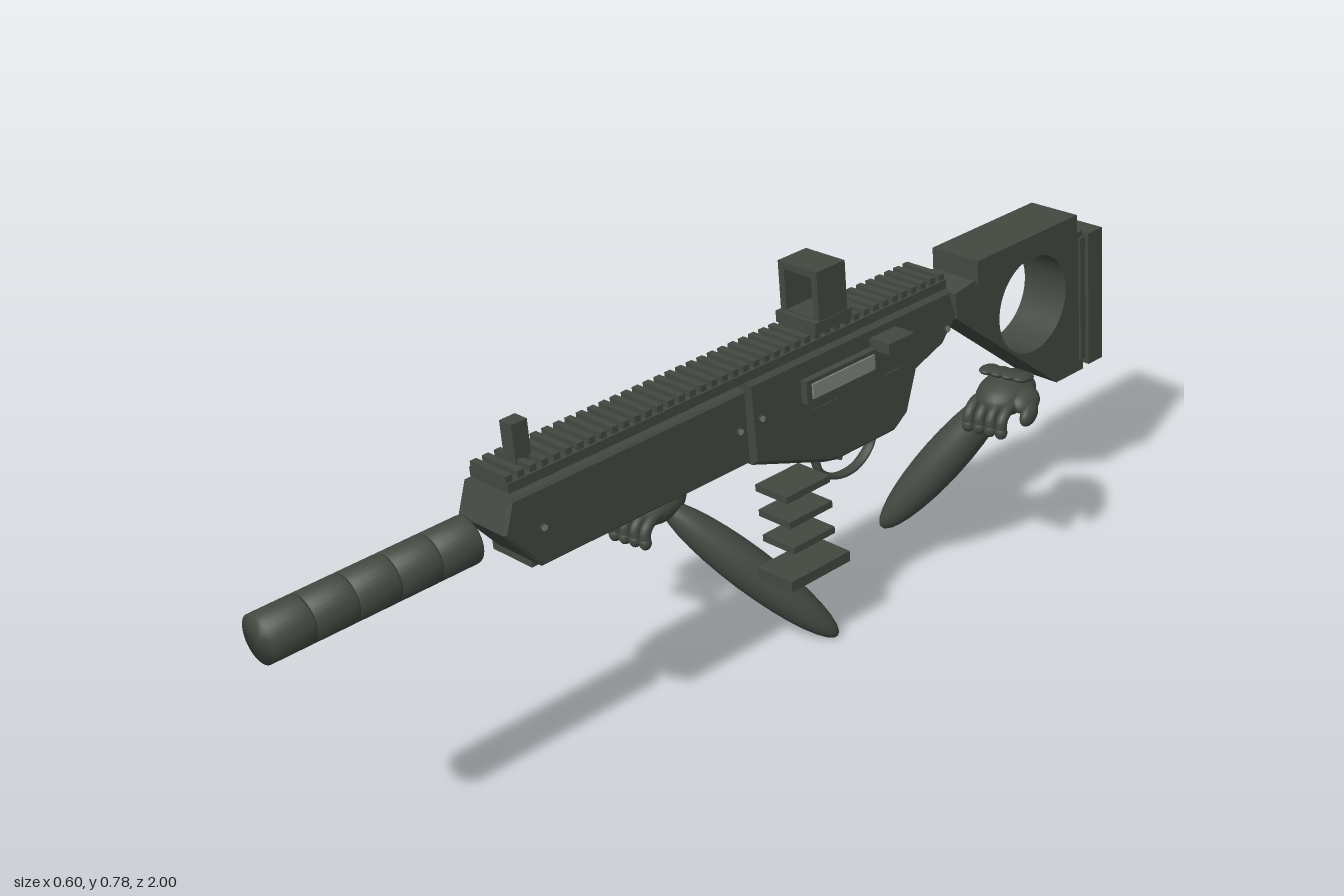
import * as THREE from 'three';

const mat = (name, color) => {
  const m = new THREE.MeshStandardMaterial({ color });
  m.name = name;
  return m;
};

export function createModel() {
  const olive = mat('dark olive', 0x434841);
  const grey = mat('port grey', 0x80847c);
  const glass = mat('lens teal', 0x94b8b4);
  const model = new THREE.Group();
  model.name = 'model';

  const add = (parent, name, geo, m, x = 0, y = 0, z = 0) => {
    const mesh = new THREE.Mesh(geo, m);
    mesh.name = name;
    mesh.position.set(x, y, z);
    parent.add(mesh);
    return mesh;
  };

  // Rifle frame: origin on the bore, local z forward, yawed and rolled
  const gun = new THREE.Group();
  gun.name = 'rifle';
  gun.position.set(-0.03, 0.552, 0);
  gun.rotation.set(0, THREE.MathUtils.degToRad(-10), THREE.MathUtils.degToRad(6), 'YXZ');
  model.add(gun);

  const box = (name, w, h, d, x, y, z, m = olive) =>
    add(gun, name, new THREE.BoxGeometry(w, h, d), m, x, y, z);

  // Side profile given as [z, y], extruded across the width
  const slab = (name, pts, width, bevel = 0, hole) => {
    const shape = new THREE.Shape(pts.map(p => new THREE.Vector2(p[0], p[1])));
    if (hole) {
      const path = new THREE.Path();
      path.absarc(hole[0], hole[1], hole[2], 0, Math.PI * 2, false);
      shape.holes.push(path);
    }
    const depth = width - 2 * bevel;
    const geo = new THREE.ExtrudeGeometry(shape, {
      depth, curveSegments: 48, bevelEnabled: bevel > 0, bevelSegments: 1,
      bevelThickness: bevel, bevelSize: bevel, bevelOffset: -bevel,
    });
    geo.translate(0, 0, -depth / 2);
    geo.rotateY(-Math.PI / 2);
    return add(gun, name, geo, olive);
  };

  // Suppressor: five sections with fine grooves between them
  for (let i = 0; i < 5; i++) {
    const z0 = 0.586 + i * 0.0843, z1 = z0 + 0.0828;
    const prof = [[0, z0], [0.0435, z0], [0.0445, z0 + 0.003], [0.0445, z1], [0, z1]];
    const geo = new THREE.LatheGeometry(prof.map(p => new THREE.Vector2(p[0], p[1])), 32);
    add(gun, 'suppressorSection', geo.rotateX(Math.PI / 2), olive, -0.003);
  }
  add(gun, 'suppressorCore', new THREE.CylinderGeometry(0.042, 0.042, 0.41, 32).rotateX(Math.PI / 2), olive, -0.003, 0, 0.795);

  // Handguard
  slab('handguard', [[0, -0.07], [0.49, -0.07], [0.562, 0.018], [0.54, 0.077], [0, 0.077]], 0.13, 0.005).position.x = 0.004;
  box('handguardLowerPlate', 0.106, 0.016, 0.49, -0.018, -0.076, 0.245);

  // Receiver
  slab('receiver', [[-0.012, 0.08], [-0.015, -0.085], [-0.2, -0.153], [-0.23, -0.16], [-0.388, -0.16], [-0.425, -0.135],
    [-0.455, -0.055], [-0.53, -0.03], [-0.572, 0.015], [-0.555, 0.08]], 0.122, 0.008);

  // Pins on both sides
  for (const side of [-1, 1]) {
    for (const [z, hw, x] of [[0.48, 0.065, 0.004], [0.022, 0.065, 0.004], [-0.04, 0.061, 0], [-0.54, 0.061, 0]]) {
      const pin = add(gun, 'pin', new THREE.CylinderGeometry(0.008, 0.008, 0.006, 12), olive, x + side * hw, 0.002, z);
      const head = add(gun, 'pinHead', new THREE.CylinderGeometry(0.006, 0.006, 0.004, 12), grey, x + side * (hw + 0.002), 0.002, z);
      pin.rotation.z = head.rotation.z = Math.PI / 2;
    }
  }

  // Ejection port and charging handle on the left side
  box('portFrame', 0.02, 0.046, 0.19, 0.066, 0.017, -0.238);
  box('portCover', 0.014, 0.03, 0.164, 0.073, 0.017, -0.238, grey);
  box('chargingHandle', 0.055, 0.022, 0.07, 0.083, 0.047, -0.362);
  box('sideStrip', 0.006, 0.006, 0.07, 0.06, -0.033, -0.2);
  box('sideStrip', 0.006, 0.006, 0.05, 0.06, -0.033, -0.39);

  // Top rail with teeth
  box('railBase', 0.104, 0.018, 1.08, 0.003, 0.091, -0.008);
  box('railSpine', 0.06, 0.014, 1.06, 0.003, 0.08, -0.008);
  const teeth = 42;
  for (let i = 0; i < teeth; i++) {
    box('railTooth', 0.096, 0.015, 0.014, 0.003, 0.105, 0.525 - i * (1.066 / (teeth - 1)));
  }

  // Front post
  box('frontSight', 0.032, 0.078, 0.034, 0, 0.139, 0.465);

  // Optic: base, square hood and rear lens
  box('opticBase', 0.104, 0.022, 0.095, 0, 0.119, -0.245);
  const hood = new THREE.Shape([[-0.05, 0], [0.05, 0], [0.05, 0.1], [-0.05, 0.1]].map(p => new THREE.Vector2(...p)));
  hood.holes.push(new THREE.Path([[-0.035, 0.006], [-0.035, 0.086], [0.035, 0.086], [0.035, 0.006]].map(p => new THREE.Vector2(...p))));
  add(gun, 'opticHood', new THREE.ExtrudeGeometry(hood, { depth: 0.074, bevelEnabled: false }), olive, 0, 0.127, -0.284);
  box('opticLens', 0.07, 0.08, 0.005, 0, 0.173, -0.28, glass);
  box('opticDot', 0.005, 0.005, 0.002, 0, 0.173, -0.2835);

  // Trigger and guard
  const bow = new THREE.CatmullRomCurve3([[-0.155, -0.222], [-0.2, -0.232], [-0.23, -0.272], [-0.232, -0.33],
    [-0.2, -0.374], [-0.15, -0.384]].map(([y, z]) => new THREE.Vector3(0, y, z)));
  const guard = add(gun, 'triggerGuard', new THREE.TubeGeometry(bow, 32, 0.0065, 10), olive);
  guard.scale.x = 1.8;
  const trig = new THREE.CatmullRomCurve3([[-0.15, -0.29], [-0.18, -0.296], [-0.2, -0.288]]
    .map(([y, z]) => new THREE.Vector3(0, y, z)));
  add(gun, 'trigger', new THREE.TubeGeometry(trig, 10, 0.006, 8), olive);

  // Floating magazine plates
  for (const [y, w, h, d, z] of [[-0.195, 0.085, 0.014, 0.115, -0.155], [-0.25, 0.085, 0.014, 0.113, -0.158],
    [-0.307, 0.085, 0.014, 0.11, -0.162], [-0.377, 0.094, 0.022, 0.158, -0.17]]) {
    box('magazinePlate', w, h, d, 0.008, y, z);
  }

  // Stock with round opening, cheek rest and butt pad
  slab('stock', [[-0.575, 0.06], [-0.578, 0.006], [-0.873, -0.24], [-0.958, -0.24], [-0.958, 0.068], [-0.63, 0.068]],
    0.108, 0, [-0.803, -0.041, 0.102]);
  box('cheekRest', 0.118, 0.05, 0.3, 0.003, 0.086, -0.783);
  box('buttSpacer', 0.118, 0.27, 0.02, 0, -0.08, -0.956);
  box('buttPad', 0.134, 0.29, 0.044, 0, -0.082, -0.983);

  // Forearms and hands
  const ball = new THREE.SphereGeometry(1, 24, 16);
  const blob = (parent, name, x, y, z, sx, sy, sz, rx = 0, rz = 0) => {
    const m = add(parent, name, ball, olive, x, y, z);
    m.scale.set(sx, sy, sz);
    m.rotation.set(rx, 0, rz);
  };
  const forearm = (name, a, b) => {
    const from = new THREE.Vector3(...a), to = new THREE.Vector3(...b);
    const dir = to.clone().sub(from);
    const mid = from.clone().add(to).multiplyScalar(0.5);
    const m = add(model, name, ball, olive, mid.x, mid.y, mid.z);
    m.scale.set(0.044, dir.length() / 2, 0.044);
    m.quaternion.setFromUnitVectors(new THREE.Vector3(0, 1, 0), dir.normalize());
  };
  // Hand with curled fingers; side is the x direction of the thumb
  const hand = (name, x, y, z, side) => {
    const g = new THREE.Group();
    g.name = name;
    g.position.set(x, y, z);
    g.rotation.z = 0.1;
    blob(g, 'palm', 0, 0.002, -0.016, 0.055, 0.039, 0.072, 0.05);
    for (let i = 0; i < 4; i++) {
      const fx = side * (-0.037 + i * 0.0247);
      const path = new THREE.CatmullRomCurve3([[-0.002, 0.01], [-0.002, 0.04], [-0.016, 0.062], [-0.04, 0.067]]
        .map(([py, pz]) => new THREE.Vector3(fx, py, pz)));
      add(g, 'finger', new THREE.TubeGeometry(path, 14, 0.0115, 10), olive);
      blob(g, 'fingertip', fx, -0.04, 0.067, 0.0125, 0.0145, 0.0125);
      blob(g, 'knuckle', fx, 0.042, -0.02, 0.018, 0.009, 0.03, -0.2, -0.1);
    }
    blob(g, 'thumbBase', side * 0.05, 0.002, -0.005, 0.028, 0.018, 0.036, 0.2, side * -0.6);
    blob(g, 'thumb', side * 0.068, -0.018, 0.012, 0.014, 0.02, 0.028, 0.4);
    model.add(g);
  };
  forearm('supportForearm', [0.097, 0.003, -0.208], [-0.205, 0.288, -0.035]);
  forearm('triggerForearm', [0.025, 0.095, -0.468], [0.218, 0.425, -0.61]);
  hand('supportHand', -0.222, 0.282, -0.022, -1);
  hand('triggerHand', 0.218, 0.412, -0.585, 1);

  return model;
}
